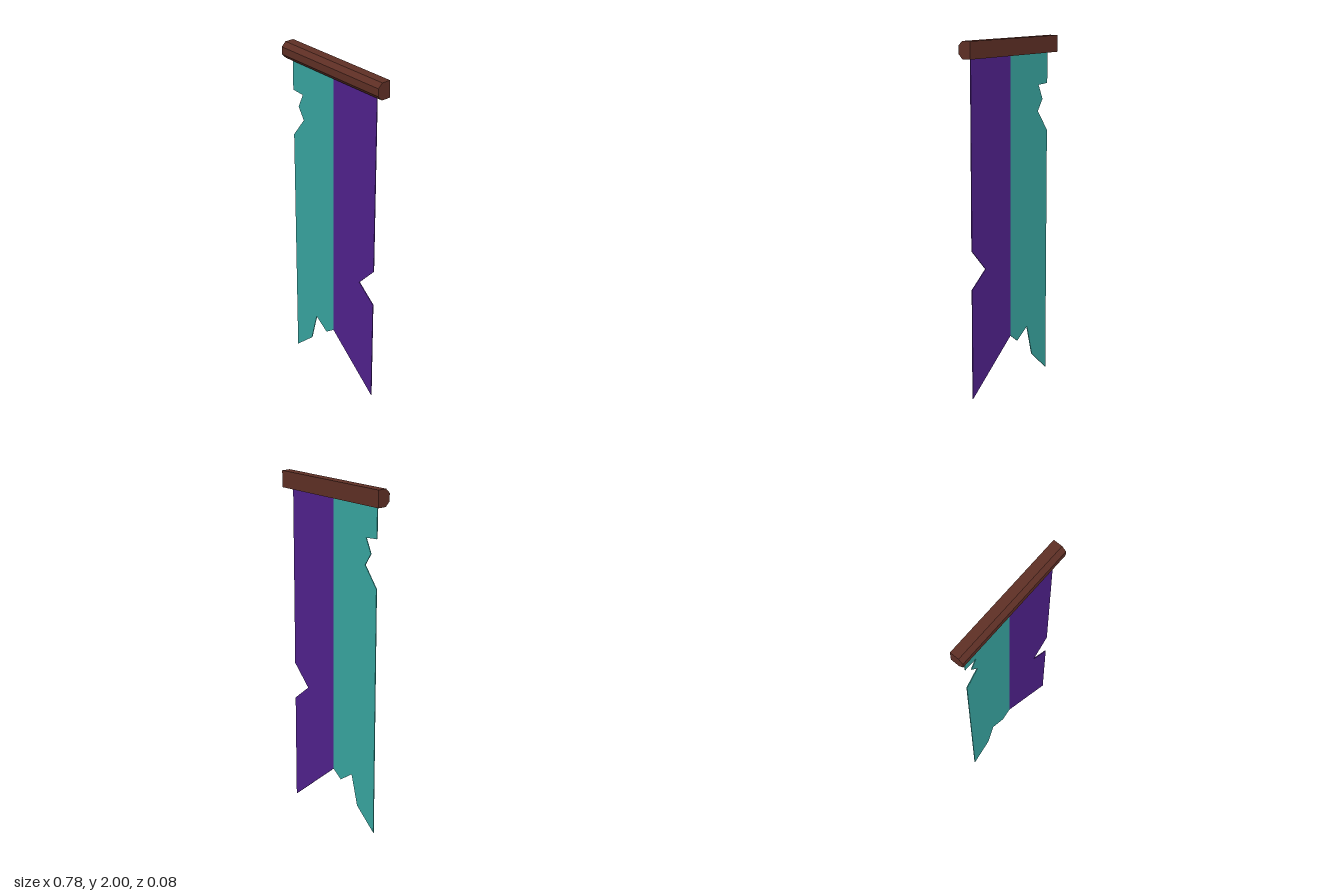
import * as THREE from 'three';

const material = (name, color) => {
  const m = new THREE.MeshStandardMaterial({ color });
  m.name = name;
  return m;
};

// Extrudes a straight-edged outline, centred on z = 0
function slab(points, depth) {
  const shape = new THREE.Shape(points.map(([x, y]) => new THREE.Vector2(x, y)));
  return new THREE.ExtrudeGeometry(shape, { depth, bevelEnabled: false }).translate(0, 0, -depth / 2);
}

export function createModel() {
  const group = new THREE.Group();
  group.name = 'tornBanner';
  const add = (name, geometry, mat) => {
    const mesh = new THREE.Mesh(geometry, mat);
    mesh.name = name;
    group.add(mesh);
  };

  const wood = material('brown wood', 0x5e2f25);
  const teal = material('teal cloth', 0x38a5a0);
  const purple = material('purple cloth', 0x50218c);
  const clothDepth = 0.005;
  const clothTop = 1.94;

  // Wooden rod: flat back, chamfered front; profile runs (-z, y)
  const rod = slab([
    [0.04, 1.905], [0.04, 2], [-0.014, 2], [-0.04, 1.975], [-0.04, 1.932], [-0.014, 1.905],
  ], 0.78).rotateY(Math.PI / 2);
  add('rod', rod, wood);

  // Right half of the cloth, with a side tear and a ragged hem
  add('rightCloth', slab([
    [0, clothTop], [-0.343, clothTop], [-0.343, 1.728], [-0.26, 1.722], [-0.298, 1.64],
    [-0.254, 1.572], [-0.343, 1.455], [-0.343, 0], [-0.205, 0.123], [-0.157, 0.305],
    [-0.064, 0.24], [0, 0.287],
  ], clothDepth), teal);

  // Left half of the cloth, with one notch and a slanted hem
  add('leftCloth', slab([
    [0, clothTop], [0, 0.287], [0.341, 0], [0.341, 0.637], [0.224, 0.733],
    [0.341, 0.857], [0.341, clothTop],
  ], clothDepth), purple);

  return group;
}
